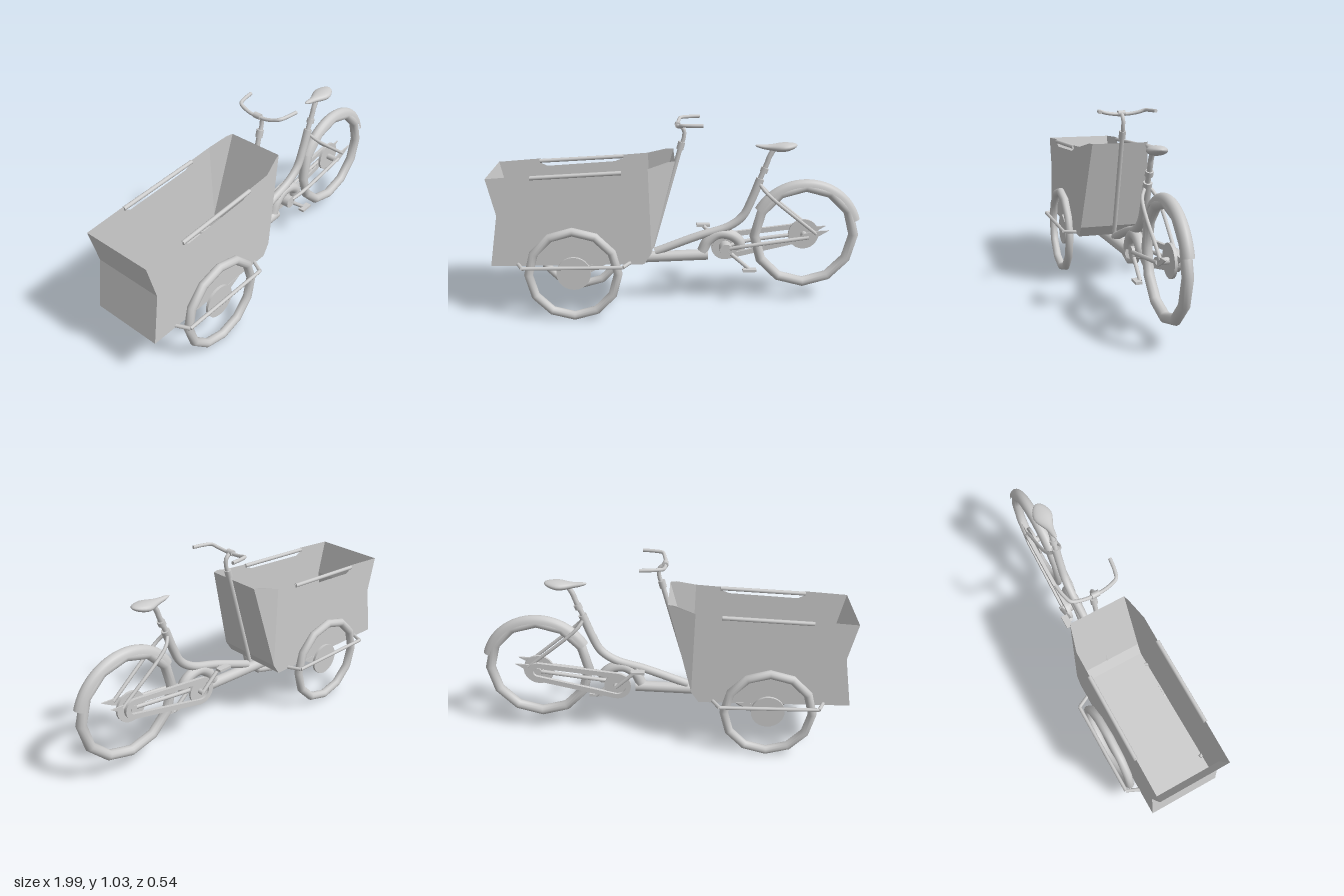
import * as THREE from 'three';

const mat = new THREE.MeshStandardMaterial({ color: 0xcccccc });
const thin = new THREE.MeshStandardMaterial({ color: 0xcccccc, side: THREE.DoubleSide });
const flat = new THREE.MeshStandardMaterial({ color: 0xcccccc, side: THREE.DoubleSide, flatShading: true });
const V = (p) => new THREE.Vector3(...p);

export function createModel() {
  const model = new THREE.Group();
  const add = (name, geo, material = mat) => {
    const mesh = new THREE.Mesh(geo, material);
    mesh.name = name;
    model.add(mesh);
    return mesh;
  };
  // Smooth tube through points, with flat end caps
  const tube = (name, pts, r, sides = 10) => {
    const curve = new THREE.CatmullRomCurve3(pts.map(V), false, 'centripetal');
    const mesh = add(name, new THREE.TubeGeometry(curve, pts.length > 2 ? pts.length * 6 : 1, r, sides), mat);
    for (const t of [0, 1]) {
      const cap = new THREE.Mesh(new THREE.CircleGeometry(r, sides), mat);
      cap.name = name + 'Cap';
      cap.position.copy(curve.getPoint(t));
      cap.lookAt(cap.position.clone().addScaledVector(curve.getTangent(t), t ? 1 : -1));
      mesh.add(cap);
    }
    return mesh;
  };
  // Cylinder along z
  const disc = (name, x, y, z, r, depth, sides = 24) => {
    const mesh = add(name, new THREE.CylinderGeometry(r, r, depth, sides).rotateX(Math.PI / 2));
    mesh.position.set(x, y, z);
  };
  const outline = (pts) => new THREE.Shape(pts.map((p) => new THREE.Vector2(...p)));
  const plate = (name, shape, z, depth) => {
    const geo = new THREE.ExtrudeGeometry(shape, { depth, bevelEnabled: false, curveSegments: 10 });
    add(name, geo).position.z = z - depth / 2;
  };
  // Flat panel from a fan of corners
  const panel = (name, pts) => {
    const geo = new THREE.BufferGeometry().setFromPoints(pts.map(V));
    const index = [];
    for (let i = 1; i < pts.length - 1; i++) index.push(0, i, i + 1);
    geo.setIndex(index);
    geo.computeVertexNormals();
    add(name, geo, flat);
  };
  const wheel = (name, x, y, z, R, r) =>
    add(name, new THREE.TorusGeometry(R, r, 12, 12)).position.set(x, y, z);

  // Cargo box
  const W = 0.194;
  const side = outline([[-1, 0.31], [-0.2, 0.31], [-0.16, 0.37], [-0.175, 0.825], [-0.31, 0.815], [-0.315, 0.795],
    [-0.36, 0.778], [-0.735, 0.755], [-0.765, 0.77], [-0.77, 0.797], [-1, 0.78], [-0.955, 0.585]]);
  for (const s of [-1, 1]) {
    add('boxSide', new THREE.ShapeGeometry(side), flat).position.z = s * W;
    panel('boxCorner', [[-0.175, 0.825, s * W], [-0.07, 0.855, s * 0.165], [-0.035, 0.855, s * 0.155], [-0.16, 0.37, s * W]]);
    tube('boxRail', [[-0.775, 0.783, s * W], [-0.31, 0.806, s * W]], 0.011);
  }
  const across = (name, a, b, wa = W, wb = W) =>
    panel(name, [[...a, wa], [...b, wb], [...b, -wb], [...a, -wa]]);
  across('boxFrontUpper', [-1, 0.78], [-0.955, 0.585]);
  across('boxFrontLower', [-0.955, 0.585], [-1, 0.31]);
  across('boxFloor', [-1, 0.31], [-0.2, 0.31]);
  across('boxLowerBevel', [-0.2, 0.31], [-0.16, 0.37]);
  across('boxBack', [-0.16, 0.37], [-0.035, 0.855], W, 0.155);

  // Front wheels, hubs, guard rods and brackets
  for (const s of [-1, 1]) {
    wheel('frontWheel', -0.57, 0.268, s * 0.22, 0.234, 0.0235);
    disc('frontHub', -0.57, 0.268, s * 0.207, 0.09, 0.014);
    const rod = [[-0.865, 0.318, 0.18], [-0.83, 0.318, 0.26], [-0.31, 0.318, 0.26], [-0.27, 0.318, 0.18]];
    for (let i = 0; i < 3; i++) tube('guardRod', [rod[i], rod[i + 1]].map(([x, y, z]) => [x, y, s * z]), 0.01, 8);
    plate('axleBracket', outline([[-0.6, 0.25], [-0.57, 0.23], [-0.53, 0.235], [-0.49, 0.265], [-0.4, 0.312], [-0.47, 0.312], [-0.56, 0.295]]), s * 0.19, 0.012);
  }
  tube('frontAxle', [[-0.57, 0.268, -0.205], [-0.57, 0.268, 0.205]], 0.027, 16);

  // Frame
  tube('mainTube', [[-0.57, 0.267, 0], [0.15, 0.29, 0]], 0.03, 16);
  tube('curvedFrameTube', [[-0.14, 0.31, 0], [0.1, 0.4, 0], [0.26, 0.45, 0], [0.34, 0.51, 0], [0.385, 0.6, 0], [0.43, 0.72, 0]], 0.023, 12);
  tube('bracketArch', [[0.12, 0.31, 0], [0.15, 0.37, 0], [0.21, 0.41, 0], [0.28, 0.4, 0], [0.325, 0.36, 0], [0.325, 0.32, 0]], 0.03, 12);
  disc('bottomBracket', 0.25, 0.32, -0.01, 0.035, 0.08, 16);
  for (const s of [-1, 1]) {
    tube('seatStay', [[0.425, 0.695, s * 0.012], [0.46, 0.65, s * 0.038], [0.74, 0.415, s * 0.041]], 0.0095, 8);
    tube('chainStay', [[0.27, 0.33, s * 0.025], [0.36, 0.35, s * 0.042], [0.7, 0.395, s * 0.042]], 0.011, 8);
    plate('dropout', outline([[0.64, 0.385], [0.7, 0.375], [0.76, 0.405], [0.81, 0.435], [0.72, 0.43], [0.67, 0.415]]), s * 0.041, 0.008);
  }

  // Rear wheel, hub and mudguard
  wheel('rearWheel', 0.683, 0.395, -0.005, 0.275, 0.0275);
  disc('rearHub', 0.683, 0.395, -0.025, 0.085, 0.014);
  disc('rearAxle', 0.683, 0.395, -0.005, 0.018, 0.1, 12);
  const arc = [];
  for (let i = 0; i <= 8; i++) {
    const a = (i / 8 - 0.5) * Math.PI;
    arc.push(new THREE.Vector2(0.28 + 0.038 * Math.cos(a), 0.032 * Math.sin(a)));
  }
  const rad = Math.PI / 180;
  const guard = new THREE.LatheGeometry(arc, 32, 107 * rad, 133 * rad).rotateX(Math.PI / 2);
  add('rearMudguard', guard, thin).position.set(0.683, 0.395, -0.005);

  // Chain guard loop and chainring
  const loop = (big, small) => {
    const s = new THREE.Path();
    s.absarc(0.25, 0.32, big, 100 * rad, 279 * rad, false);
    s.absarc(0.683, 0.395, small, -81 * rad, 100 * rad, false);
    return s;
  };
  const chainGuard = new THREE.Shape(loop(0.078, 0.055).getPoints(10));
  chainGuard.holes.push(loop(0.05, 0.027));
  plate('chainGuard', chainGuard, -0.055, 0.018);
  disc('chainring', 0.25, 0.315, -0.045, 0.07, 0.012);

  // Cranks and pedals
  const cranks = [[0.38, 0.208, 0.02, 0.037], [0.13, 0.43, -0.075, -0.1]];
  for (const [x, y, z, pz] of cranks) {
    tube('crank', [[0.255, 0.318, z], [x, y, z]], 0.011, 8);
    add('pedal', new THREE.BoxGeometry(0.075, 0.014, 0.036)).position.set(x, y, pz);
  }
  disc('crankAxle', 0.255, 0.318, -0.028, 0.014, 0.11, 12);

  // Seat post and saddle
  tube('seatPost', [[0.42, 0.7, 0], [0.465, 0.81, 0], [0.475, 0.84, 0], [0.5, 0.885, 0]], 0.014);
  tube('seatClamp', [[0.445, 0.755, 0], [0.455, 0.78, 0]], 0.021, 12);
  const saddle = new THREE.SphereGeometry(1, 24, 16).rotateZ(Math.PI / 2);
  const p = saddle.attributes.position;
  for (let i = 0; i < p.count; i++) {
    const x = p.getX(i);
    const wide = THREE.MathUtils.smoothstep(x, -0.5, 0.5);
    p.setXYZ(i, 0.51 + 0.113 * x, 0.89 + 0.012 * x * x + p.getY(i) * (0.016 + 0.011 * wide), p.getZ(i) * (0.02 + 0.037 * wide) - 0.003);
  }
  saddle.computeVertexNormals();
  add('saddle', saddle);

  // Steering column and handlebar
  tube('steeringColumn', [[-0.158, 0.335, 0], [0, 0.9, 0]], 0.013);
  tube('steeringCollar', [[-0.005, 0.885, 0], [0.006, 0.925, 0]], 0.019, 12);
  tube('handlebarStem', [[0, 0.9, 0], [0.017, 0.95, 0], [0.016, 0.99, 0], [-0.016, 1.02, 0]], 0.011);
  tube('stemClamp', [[-0.015, 1.017, -0.02], [-0.015, 1.017, 0.02]], 0.016, 12);
  const half = [[-0.015, 1.014, 0.04], [-0.008, 1.022, 0.09], [0.004, 1.033, 0.125], [0.045, 1.035, 0.14], [0.11, 1.036, 0.15]];
  const left = half.map(([x, y, z]) => [x, y, -z]).reverse();
  tube('handlebar', [...left, [-0.015, 1.014, 0], ...half], 0.0095);

  return model;
}
